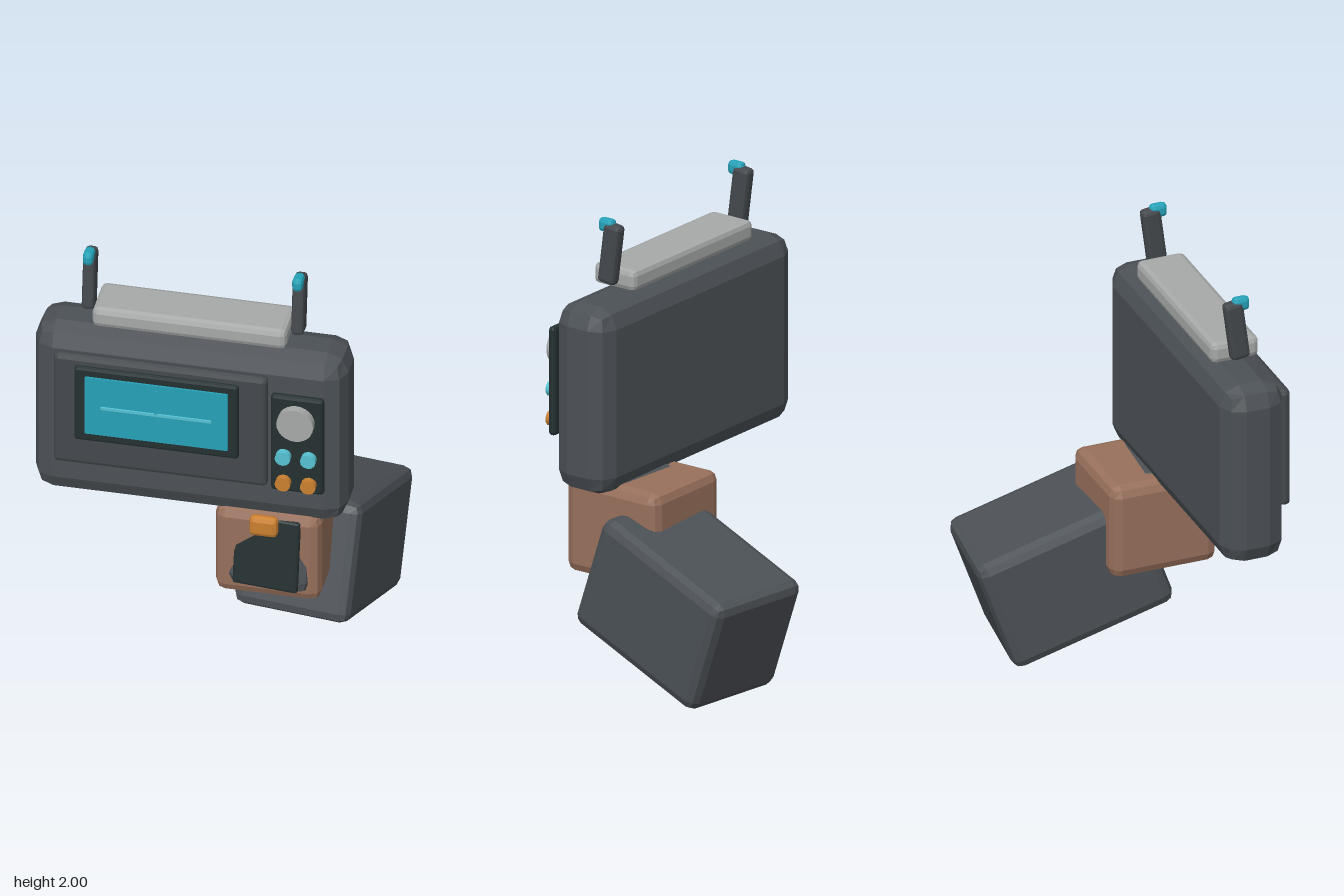
import * as THREE from 'three';
import { RoundedBoxGeometry } from 'three/addons/geometries/RoundedBoxGeometry.js';

const mat = (name, color) => {
  const m = new THREE.MeshStandardMaterial({ color });
  m.name = name;
  return m;
};

export function createModel() {
  const model = new THREE.Group();
  model.name = 'wristDevice';

  const graphite = mat('graphite', 0x4c5156);
  const charcoal = mat('charcoal', 0x44484c);
  const black = mat('dark green black', 0x253031);
  const silver = mat('silver', 0xa6a9a8);
  const cyan = mat('cyan', 0x25a2b8);
  const paleCyan = mat('pale cyan', 0x56c2d2);
  const orange = mat('orange', 0xcb8030);
  const brown = mat('brown', 0x98705c);

  const add = (name, geometry, material, pos, pitch = 0, yaw = 0) => {
    const mesh = new THREE.Mesh(geometry, material);
    mesh.name = name;
    mesh.position.set(...pos);
    mesh.rotation.set(pitch, yaw, 0, 'YXZ');
    model.add(mesh);
    return mesh;
  };

  // Box with a two-facet bevel, flat shaded
  const block = (name, [w, h, d], r, material, pos, pitch, yaw) => {
    const g = new RoundedBoxGeometry(w, h, d, 1, r);
    g.computeVertexNormals();
    return add(name, g, material, pos, pitch, yaw);
  };

  // Round control facing forward
  const dial = (name, r, depth, sides, material, pos) => {
    const g = new THREE.CylinderGeometry(r, r, depth, sides).rotateX(Math.PI / 2);
    return add(name, g, material, pos);
  };

  // Main case and top handle
  block('case', [1.36, 0.845, 0.285], 0.09, graphite, [-0.05, 1.2325, 0.3175]);
  block('topHandle', [0.845, 0.095, 0.22], 0.025, silver, [-0.0525, 1.7225, 0.32]);

  // Antennas with lit tips
  for (const [side, x] of [['right', -0.508], ['left', 0.403]]) {
    block(`${side}Antenna`, [0.055, 0.275, 0.087], 0.018, charcoal, [x, 1.845, 0.307], -0.13);
    block(`${side}AntennaTip`, [0.046, 0.062, 0.076], 0.018, cyan, [x, 1.969, 0.327]);
  }

  // Screen assembly
  block('screenFrame', [0.93, 0.555, 0.05], 0.02, charcoal, [-0.16, 1.2925, 0.488]);
  block('screenBezel', [0.715, 0.375, 0.03], 0.012, black, [-0.1725, 1.3425, 0.517]);
  add('screen', new THREE.BoxGeometry(0.62, 0.29, 0.009), cyan, [-0.17, 1.345, 0.5365]);
  add('crosshairBar', new THREE.BoxGeometry(0.48, 0.012, 0.008), paleCyan, [-0.17, 1.343, 0.545]);
  add('crosshairPost', new THREE.BoxGeometry(0.014, 0.24, 0.007), cyan, [-0.17, 1.345, 0.5445]);

  // Control panel
  block('controlPanel', [0.23, 0.49, 0.034], 0.014, black, [0.44, 1.265, 0.513]);
  dial('knob', 0.08, 0.036, 24, silver, [0.438, 1.39, 0.548]);
  for (const x of [0.384, 0.494]) {
    dial('cyanButton', 0.034, 0.03, 12, paleCyan, [x, 1.21, 0.549]);
    dial('orangeButton', 0.034, 0.03, 12, orange, [x, 1.077, 0.549]);
  }

  // Wrist: brown cuff, tilted core pushing through it, front plate and latch
  block('cuff', [0.46, 0.435, 0.485], 0.045, brown, [0.295, 0.63, 0.222]);
  block('wristCore', [0.4, 0.44, 0.38], 0.06, graphite, [0.3, 0.64, 0.265], -0.2, -0.08);
  block('wristPlate', [0.29, 0.34, 0.03], 0.012, black, [0.295, 0.65, 0.465], -0.13, -0.1);
  block('latch', [0.123, 0.095, 0.05], 0.02, orange, [0.296, 0.828, 0.526]);

  // Forearm block
  block('forearm', [0.52, 0.54, 0.75], 0.045, graphite, [0.417, 0.3675, -0.113], -0.34, -0.13);

  return model;
}
